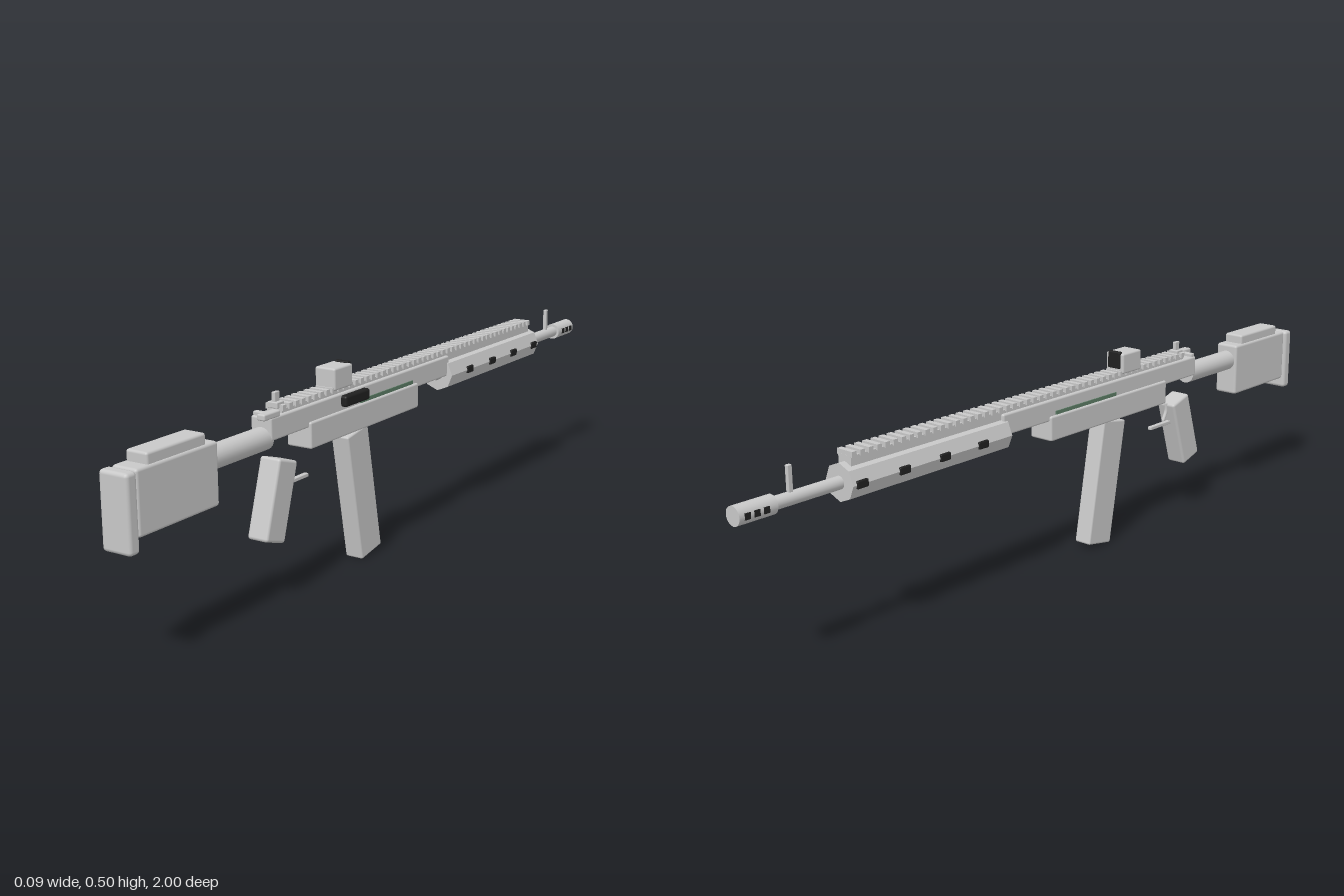
import * as THREE from 'three';
import { RoundedBoxGeometry } from 'three/addons/geometries/RoundedBoxGeometry.js';

export function createModel() {
  const model = new THREE.Group();
  const steel = new THREE.MeshStandardMaterial({ color: 0xc8c8c8 });
  steel.name = 'lightGrey';
  const black = new THREE.MeshStandardMaterial({ color: 0x202020 });
  black.name = 'black';
  const green = new THREE.MeshStandardMaterial({ color: 0x5d7d66 });
  green.name = 'dullGreen';

  const add = (name, geometry, material, x, y, z, tilt = 0) => {
    const mesh = new THREE.Mesh(geometry, material);
    mesh.name = name;
    mesh.position.set(x, y, z);
    mesh.rotation.x = tilt;
    model.add(mesh);
    return mesh;
  };
  // Box given by its extents, with softened edges when r > 0
  const block = (name, [x0, x1], [y0, y1], [z0, z1], r = 0, material = steel) => {
    const w = x1 - x0, h = y1 - y0, d = z1 - z0;
    const g = r ? new RoundedBoxGeometry(w, h, d, 2, r) : new THREE.BoxGeometry(w, h, d);
    return add(name, g, material, (x0 + x1) / 2, (y0 + y1) / 2, (z0 + z1) / 2);
  };
  // Cylinder along z
  const axisY = 0.39;
  const rod = (name, r, z0, z1, sides = 24, flat = false) => {
    let g = new THREE.CylinderGeometry(r, r, z1 - z0, sides).rotateX(Math.PI / 2);
    if (flat) {
      g = g.toNonIndexed();
      g.computeVertexNormals();
    }
    return add(name, g, steel, 0, axisY, (z0 + z1) / 2);
  };

  // Receiver
  block('upperReceiver', [-0.028, 0.028], [0.387, 0.44], [-0.24, 0.53], 0.005);
  block('lowerReceiver', [-0.034, 0.034], [0.337, 0.4], [-0.077, 0.39], 0.005);
  block('sideStrip', [-0.031, 0.031], [0.401, 0.41], [-0.055, 0.18], 0, green);
  block('ejectionPort', [0.02, 0.043], [0.408, 0.435], [0.158, 0.26], 0.006, black);

  // Barrel, handguard and muzzle
  rod('barrel', 0.015, -0.92, -0.2);
  rod('handguard', 0.044, -0.722, -0.228, 8, true);
  rod('muzzle', 0.022, -1, -0.903);
  for (let i = 0; i < 4; i++) {
    const z = -0.325 - i * 0.1235;
    block('handguardVents', [-0.0465, 0.0465], [0.381, 0.399], [z - 0.016, z + 0.016], 0.003, black);
  }
  for (let i = 0; i < 3; i++) {
    const z = -0.932 - i * 0.024;
    block('muzzlePorts', [-0.0235, 0.0235], [0.383, 0.397], [z - 0.007, z + 0.007], 0, black);
  }

  // Toothed top rail
  block('railBase', [-0.02, 0.02], [0.425, 0.448], [-0.705, 0.48]);
  const teeth = 50, pitch = 1.172 / (teeth - 1);
  const toothGeometry = new THREE.BoxGeometry(0.048, 0.013, pitch * 0.55);
  for (let i = 0; i < teeth; i++) {
    add('railTooth', toothGeometry, steel, 0, 0.4515, -0.698 + i * pitch);
  }

  // Sights
  block('sightHousing', [-0.028, 0.028], [0.45, 0.503], [0.21, 0.285], 0.005);
  block('sightLens', [-0.019, 0.019], [0.463, 0.507], [0.205, 0.218], 0.003, black);
  block('rearSight', [-0.005, 0.005], [0.45, 0.486], [0.466, 0.484], 0.002);
  block('rearSightBase', [-0.014, 0.014], [0.45, 0.464], [0.462, 0.488], 0.002);
  block('frontSight', [-0.005, 0.005], [0.395, 0.463], [-0.861, -0.849], 0.002);

  // Charging handle with its side latch
  block('chargingHandle', [-0.025, 0.025], [0.436, 0.449], [0.512, 0.526], 0.003);
  block('chargingLatch', [0.008, 0.03], [0.438, 0.453], [0.497, 0.556], 0.004);

  // Stock
  rod('bufferTube', 0.027, 0.52, 0.74);
  block('stock', [-0.033, 0.033], [0.294, 0.435], [0.718, 0.967], 0.007);
  block('cheekRest', [-0.028, 0.028], [0.428, 0.459], [0.75, 0.93], 0.006);
  block('stockLink', [-0.028, 0.028], [0.3, 0.428], [0.955, 0.98]);
  block('buttPad', [-0.0375, 0.0375], [0.265, 0.434], [0.969, 1], 0.009);

  // Grip, magazine and trigger
  add('grip', new RoundedBoxGeometry(0.056, 0.188, 0.071, 2, 0.007), steel, 0, 0.241, 0.494, -0.3);
  add('magazine', new RoundedBoxGeometry(0.049, 0.328, 0.088, 2, 0.005), steel, 0, 0.172, 0.155, 0.18);
  block('triggerGuard', [-0.006, 0.006], [0.262, 0.271], [0.363, 0.465], 0.002);
  const triggerCurve = new THREE.CatmullRomCurve3([
    new THREE.Vector3(0, 0.322, 0.436),
    new THREE.Vector3(0, 0.3, 0.436),
    new THREE.Vector3(0, 0.275, 0.423),
  ]);
  add('trigger', new THREE.TubeGeometry(triggerCurve, 8, 0.005, 8), steel, 0, 0, 0);

  return model;
}
